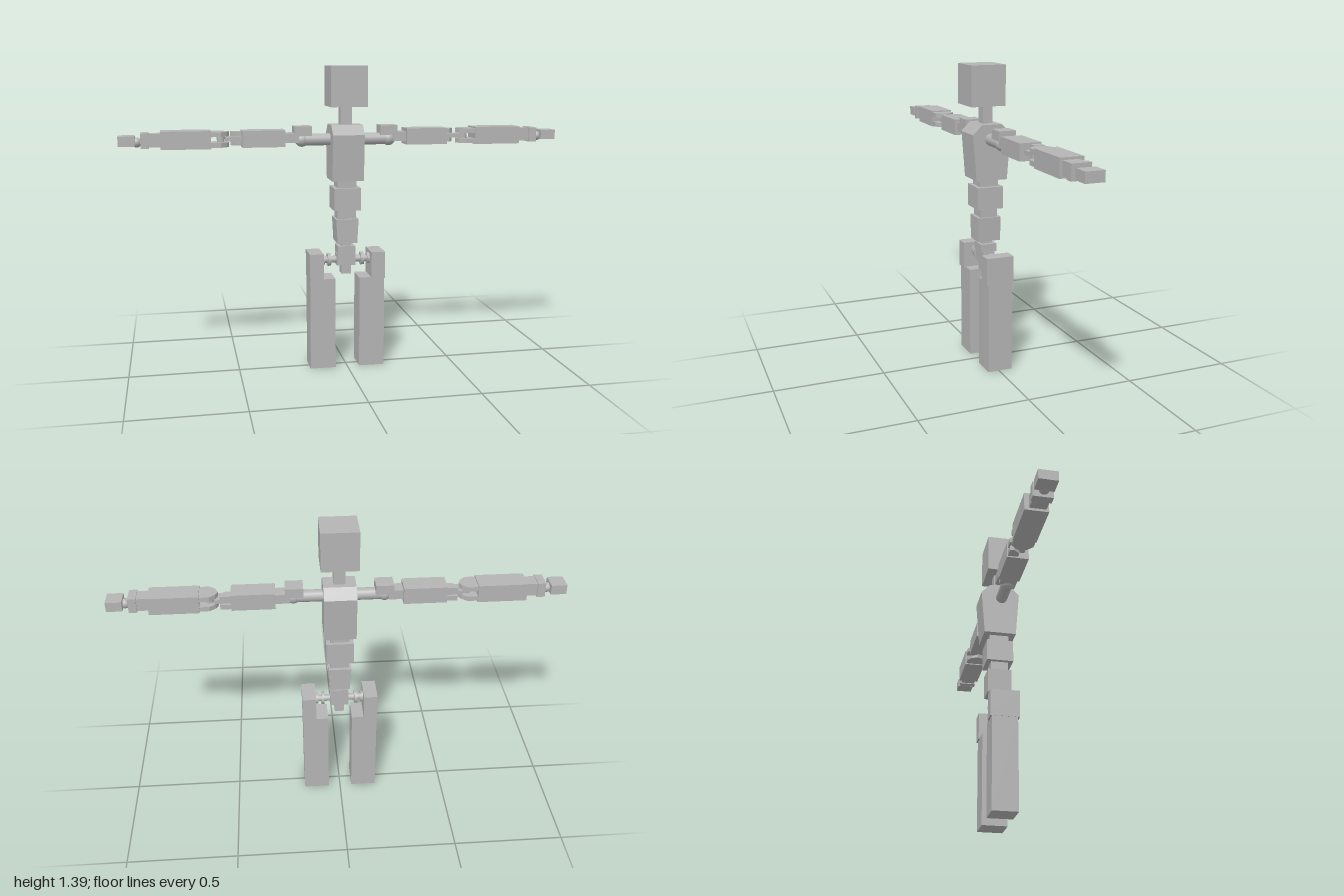
import * as THREE from 'three';

export function createModel() {
  const model = new THREE.Group();
  model.name = 'jointedMannequin';
  const grey = new THREE.MeshStandardMaterial({ color: 0xb4b4b4 });
  grey.name = 'mannequin grey';

  const add = (parent, name, geometry, x = 0, y = 0, z = 0) => {
    const mesh = new THREE.Mesh(geometry, grey);
    mesh.name = name;
    mesh.position.set(x, y, z);
    parent.add(mesh);
    return mesh;
  };
  // Box given by its limits on each axis
  const box = (parent, name, x0, x1, y0, y1, z0, z1) =>
    add(parent, name, new THREE.BoxGeometry(x1 - x0, y1 - y0, z1 - z0),
      (x0 + x1) / 2, (y0 + y1) / 2, (z0 + z1) / 2);
  // Round rod running along x
  const rod = (parent, name, x0, x1, y, z, r, sides = 16) => {
    const geometry = new THREE.CylinderGeometry(r, r, x1 - x0, sides);
    geometry.rotateZ(Math.PI / 2);
    return add(parent, name, geometry, (x0 + x1) / 2, y, z);
  };
  // Flat plate drawn in plan (x, z) between two heights
  const plate = (parent, name, points, y0, y1) => {
    const shape = new THREE.Shape(points.map(([x, z]) => new THREE.Vector2(x, -z)));
    const geometry = new THREE.ExtrudeGeometry(shape, { depth: y1 - y0, bevelEnabled: false });
    geometry.rotateX(-Math.PI / 2);
    return add(parent, name, geometry, 0, y0, 0);
  };

  // Head and neck
  box(model, 'head', -0.083, 0.083, 1.21, 1.39, -0.066, 0.095);
  box(model, 'neck', -0.026, 0.026, 1.12, 1.22, -0.028, 0.018);

  // Chest: side profile (z, y) extruded across the body
  const profile = [[-0.079, 0.877], [0.068, 0.877], [0.084, 1.085],
    [0.042, 1.128], [-0.053, 1.128], [-0.095, 1.085]];
  const chest = new THREE.ExtrudeGeometry(
    new THREE.Shape(profile.map(([z, y]) => new THREE.Vector2(-z, y))),
    { depth: 0.144, bevelEnabled: false });
  chest.translate(0, 0, -0.072);
  chest.rotateY(Math.PI / 2);
  add(model, 'chest', chest);

  // Abdomen blocks and the narrower links between them
  box(model, 'upperWaistLink', -0.043, 0.043, 0.83, 0.885, -0.049, 0.039);
  box(model, 'upperAbdomen', -0.062, 0.062, 0.741, 0.843, -0.065, 0.057);
  box(model, 'lowerWaistLink', -0.043, 0.043, 0.69, 0.75, -0.043, 0.035);
  const lower = box(model, 'lowerAbdomen', -0.052, 0.052, 0.588, 0.7, -0.058, 0.05);
  const pos = lower.geometry.attributes.position;
  for (let i = 0; i < pos.count; i++) if (pos.getY(i) < 0) pos.setX(i, pos.getX(i) * 0.88);
  lower.geometry.computeVertexNormals();

  // Pelvis joint
  box(model, 'pelvisPost', -0.022, 0.022, 0.44, 0.595, -0.028, 0.022);
  box(model, 'pelvisCollar', -0.04, 0.04, 0.535, 0.572, -0.042, 0.034);
  box(model, 'pelvisCrossbar', -0.043, 0.043, 0.48, 0.535, -0.032, 0.026);

  // Shoulder bar through the chest
  rod(model, 'shoulderBar', -0.2, 0.2, 1.062, 0, 0.027);

  for (const side of [1, -1]) {
    const arm = new THREE.Group();
    arm.name = side > 0 ? 'leftArm' : 'rightArm';
    const leg = new THREE.Group();
    leg.name = side > 0 ? 'leftLeg' : 'rightLeg';
    model.add(arm, leg);

    // Limits mirrored to the current side
    const part = (parent, name, x0, x1, ...rest) =>
      box(parent, name, ...(side > 0 ? [x0, x1] : [-x1, -x0]), ...rest);
    const pin = (parent, name, x0, x1, ...rest) =>
      rod(parent, name, ...(side > 0 ? [x0, x1] : [-x1, -x0]), ...rest);
    const lug = (name, points, y0, y1) =>
      plate(arm, name, points.map(([x, z]) => [x * side, z]), y0, y1);

    // Shoulder
    add(arm, 'shoulderBall', new THREE.SphereGeometry(0.031, 20, 14), 0.2 * side, 1.061, 0);
    part(arm, 'shoulderBlock', 0.157, 0.236, 1.08, 1.123, -0.047, 0.031);
    part(arm, 'shoulderLink', 0.215, 0.285, 1.05, 1.093, -0.04, 0.025);

    // Upper arm with its elbow prongs
    part(arm, 'upperArm', 0.278, 0.468, 1.034, 1.108, -0.056, 0.04);
    const tongue = [[0.465, -0.052], [0.515, -0.052], [0.515, -0.034],
      [0.495, -0.008], [0.465, -0.008]];
    lug('upperElbowProng', tongue, 1.08, 1.102);
    lug('lowerElbowProng', tongue, 1.04, 1.062);
    part(arm, 'elbowTongue', 0.465, 0.54, 1.062, 1.08, -0.04, 0.02);

    // Forearm with rounded elbow plates
    part(arm, 'forearm', 0.604, 0.82, 1.031, 1.11, -0.06, 0.041);
    const rounded = [[0.61, -0.055], [0.56, -0.055], [0.535, -0.035], [0.523, -0.01],
      [0.535, 0.018], [0.56, 0.039], [0.61, 0.039]];
    lug('upperElbowPlate', rounded, 1.083, 1.104);
    lug('lowerElbowPlate', rounded, 1.036, 1.057);
    add(arm, 'elbowPin', new THREE.CylinderGeometry(0.017, 0.017, 0.06, 12), 0.56 * side, 1.07, -0.008);

    // Wrist and hand
    part(arm, 'wristLink', 0.815, 0.88, 1.042, 1.1, -0.04, 0.03);
    part(arm, 'wristBlock', 0.87, 0.905, 1.037, 1.103, -0.046, 0.038);
    pin(arm, 'wristPin', 0.9, 0.94, 1.062, -0.004, 0.014);
    add(arm, 'wristBall', new THREE.SphereGeometry(0.022, 16, 12), 0.922 * side, 1.062, -0.004);
    part(arm, 'hand', 0.93, 1, 1.047, 1.091, -0.047, 0.034);

    // Hip joint
    pin(leg, 'hipPin', 0.03, 0.125, 0.505, -0.003, 0.016);
    pin(leg, 'innerHipDisc', 0.07, 0.085, 0.505, -0.003, 0.03);
    pin(leg, 'outerHipDisc', 0.1, 0.115, 0.505, -0.003, 0.026);

    // Leg
    part(leg, 'hip', 0.112, 0.175, 0.42, 0.544, -0.07, 0.06);
    part(leg, 'leg', 0.056, 0.174, 0, 0.425, -0.063, 0.052);
  }
  return model;
}
